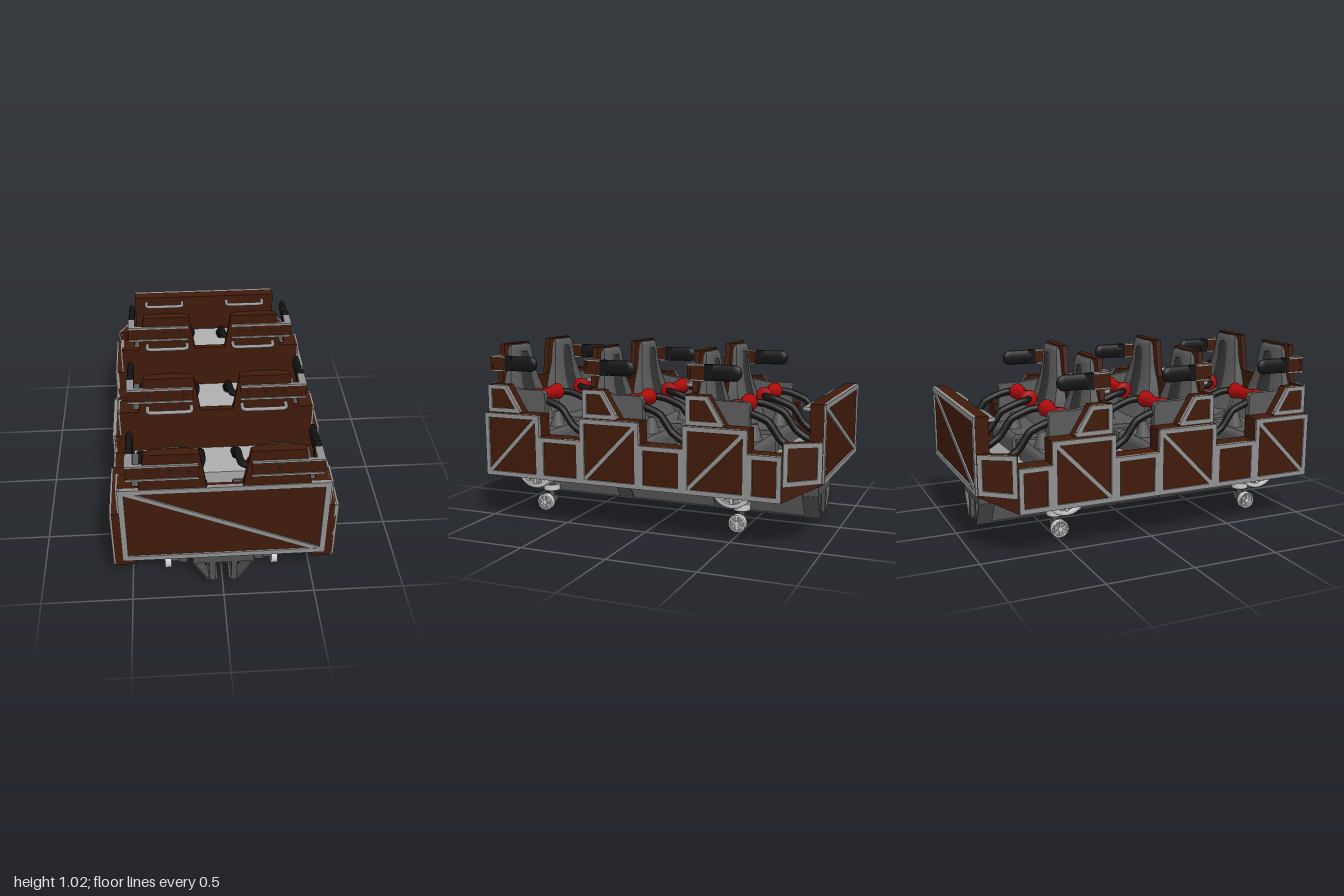
import * as THREE from 'three';
import { ConvexGeometry } from 'three/addons/geometries/ConvexGeometry.js';
import { RoundedBoxGeometry } from 'three/addons/geometries/RoundedBoxGeometry.js';

const V = (x, y, z) => new THREE.Vector3(x, y, z);
const mat = (color) => new THREE.MeshStandardMaterial({ color, side: THREE.DoubleSide });
const M = {
  wood: mat(0x401a0a), trim: mat(0x909090), seat: mat(0x5a5a5a), floor: mat(0x959595), cushion: mat(0x343434),
  chassis: mat(0x505050), black: mat(0x141414), red: mat(0xac0c0c), wheel: mat(0xcccccc),
};

function add(parent, name, geo, material) {
  const m = new THREE.Mesh(geo, material);
  m.name = name;
  parent.add(m);
  return m;
}
function group(parent, name) {
  const g = new THREE.Group();
  g.name = name;
  parent.add(g);
  return g;
}
// Box given by its limits on each axis
function box(parent, name, material, x0, x1, y0, y1, z0, z1) {
  const g = new THREE.BoxGeometry(Math.abs(x1 - x0), Math.abs(y1 - y0), Math.abs(z1 - z0));
  return add(parent, name, g.translate((x0 + x1) / 2, (y0 + y1) / 2, (z0 + z1) / 2), material);
}
// Side profile of [z, y] points, swept across x
function prism(parent, name, material, pts, x0, x1) {
  const shape = new THREE.Shape(pts.map(([z, y]) => new THREE.Vector2(z, y)));
  const g = new THREE.ExtrudeGeometry(shape, { depth: Math.abs(x1 - x0), bevelEnabled: false });
  return add(parent, name, g.rotateY(-Math.PI / 2).translate(Math.max(x0, x1), 0, 0), material);
}
// Contoured slab from levels of [y, half width, front z], with a front curving away at the sides
function contour(parent, name, material, c, z, levels, back) {
  const n = levels.length - 1;
  const g = new THREE.BoxGeometry(2, 1, 1, 8, n, 1);
  const p = g.attributes.position;
  for (let i = 0; i < p.count; i++) {
    const u = p.getX(i), [y, half, front] = levels[Math.round((p.getY(i) + 0.5) * n)];
    p.setXYZ(i, c + u * half, y, z + (p.getZ(i) > 0 ? back : front + 0.018 * u ** 4));
  }
  g.computeVertexNormals();
  return add(parent, name, g, material);
}
// Flat strip from p to q facing along n
function bar(parent, name, material, p, q, n, w, d) {
  const dir = q.clone().sub(p);
  const geo = new THREE.BoxGeometry(dir.length() + w * 0.9, w, d);
  const X = dir.normalize(), Z = n.clone().normalize(), Y = Z.clone().cross(X);
  geo.applyMatrix4(new THREE.Matrix4().makeBasis(X, Y, Z).setPosition(p.clone().add(q).multiplyScalar(0.5)));
  return add(parent, name, geo, material);
}
function frame(parent, pts, n, w = 0.026, diagonal) {
  pts.forEach((p, i) => bar(parent, 'trimStrip', M.trim, p, pts[(i + 1) % pts.length], n, w, 0.02));
  if (diagonal) bar(parent, 'diagonalStrip', M.trim, pts[diagonal[0]], pts[diagonal[1]], n, w * 0.9, 0.018);
}
function tube(parent, name, material, pts, r) {
  const curve = new THREE.CatmullRomCurve3(pts, false, 'catmullrom', 0.3);
  return add(parent, name, new THREE.TubeGeometry(curve, 36, r, 10), material);
}
function cyl(parent, name, material, r, len, axis, x, y, z) {
  const g = new THREE.CylinderGeometry(r, r, len, 24);
  if (axis === 'x') g.rotateZ(Math.PI / 2);
  if (axis === 'z') g.rotateX(Math.PI / 2);
  return add(parent, name, g.translate(x, y, z), material);
}
// Grab handle: a U-shaped rail
function handle(parent, c, y, z) {
  tube(parent, 'grabHandle', M.trim, [V(c - 0.12, y, z), V(c - 0.12, y, z + 0.035), V(c - 0.1, y, z + 0.052),
    V(c + 0.1, y, z + 0.052), V(c + 0.12, y, z + 0.035), V(c + 0.12, y, z)], 0.011);
}
// Spoked wheel turning about x
function wheel(parent, name, r, w, spokes) {
  const g = group(parent, name);
  const prof = [[0.78, -0.5], [0.95, -0.5], [1, -0.4], [1, 0.4], [0.95, 0.5], [0.78, 0.5], [0.78, -0.5]]
    .map(([a, b]) => new THREE.Vector2(a * r, b * w));
  add(g, 'tyre', new THREE.LatheGeometry(prof, 32).rotateZ(Math.PI / 2), M.wheel);
  cyl(g, 'hub', M.wheel, r * 0.3, w, 'x', 0, 0, 0);
  cyl(g, 'web', M.trim, r * 0.8, w * 0.5, 'x', 0, 0, 0);
  for (let i = 0; i < spokes; i++) {
    const s = box(g, 'spoke', M.wheel, -w * 0.42, w * 0.42, r * 0.25, r * 0.82, -r * 0.07, r * 0.07);
    s.rotation.x = (i / spokes) * Math.PI * 2;
  }
  return g;
}

// One seat with backboard, headrest bracket and lap bar; s picks the side
function seat(parent, s, z, hasHandle) {
  const g = group(parent, 'seat'), c = 0.26 * s;
  contour(g, 'backBoard', M.wood, c, z, [[0.795, 0.172, -0.046], [1.025, 0.135, -0.046]], 0.004);
  prism(g, 'seatPan', M.seat, [[z - 0.372, 0.41], [z - 0.372, 0.495], [z - 0.365, 0.515], [z - 0.345, 0.53], [z - 0.22, 0.525],
    [z - 0.14, 0.56], [z - 0.09, 0.64], [z - 0.03, 0.68], [z - 0.03, 0.41]], 0.07 * s, 0.465 * s);
  contour(g, 'seatBack', M.seat, c, z, [[0.5, 0.2, -0.2], [0.58, 0.2, -0.16], [0.66, 0.195, -0.13], [0.73, 0.182, -0.11],
    [0.8, 0.157, -0.094], [0.87, 0.134, -0.084], [0.99, 0.115, -0.076], [1.012, 0.1, -0.07], [1.018, 0.085, -0.06]], -0.028);
  contour(g, 'backCushion', M.cushion, c, z, [[0.66, 0.09, -0.135], [0.73, 0.086, -0.116], [0.8, 0.078, -0.1], [0.87, 0.069, -0.09],
    [0.95, 0.059, -0.085], [0.975, 0.04, -0.083]], -0.06);
  prism(g, 'sideWing', M.seat, [[z - 0.04, 0.5], [z - 0.34, 0.5], [z - 0.335, 0.75], [z - 0.315, 0.77], [z - 0.17, 0.77],
    [z - 0.04, 0.79]], 0.43 * s, 0.468 * s);
  const pommel = add(g, 'pommel', new THREE.CylinderGeometry(0.02, 0.05, 0.1, 16), M.seat);
  pommel.position.set(c, 0.57, z - 0.3);

  // Headrest bracket with padded arm
  const b0 = 0.13 * s, b1 = 0.49 * s;
  box(g, 'headrestBoard', M.wood, b0, b1, 0.875, 0.96, z - 0.005, z + 0.01);
  for (const y of [0.876, 0.96]) {
    box(g, 'headrestStrip', M.trim, b0, b1, y - 0.006, y + 0.006, z - 0.005, z + 0.015);
    box(g, 'armStrip', M.trim, 0.45 * s, 0.49 * s, y - 0.004, y + 0.004, z - 0.085, z);
  }
  for (const x of [0.175, 0.27, 0.37]) cyl(g, 'bolt', M.cushion, 0.008, 0.012, 'z', x * s, 0.92, z + 0.012);
  box(g, 'armBracket', M.wood, 0.45 * s, 0.488 * s, 0.878, 0.96, z - 0.085, z);
  const pad = add(g, 'armPad', new THREE.CapsuleGeometry(0.044, 0.13, 8, 20).rotateX(Math.PI / 2), M.black);
  pad.scale.x = 0.45;
  pad.position.set(0.47 * s, 0.92, z - 0.183);
  box(g, 'armPadMount', M.black, 0.453 * s, 0.488 * s, 0.877, 0.963, z - 0.13, z - 0.085);

  // Lap bar with a waisted pad
  const l = 0.265 * s;
  for (const t of [1, -1]) {
    const x = l + 0.165 * t;
    tube(g, 'lapBarArm', M.black, [V(x, 0.5, z - 0.65), V(x, 0.525, z - 0.57), V(x, 0.575, z - 0.495), V(x, 0.668, z - 0.425),
      V(x, 0.71, z - 0.32), V(x - 0.01 * t, 0.718, z - 0.265), V(l + 0.11 * t, 0.72, z - 0.235)], 0.021);
  }
  const profile = [[0, -0.132], [0.04, -0.13], [0.05, -0.118], [0.047, -0.095], [0.038, -0.06], [0.035, 0], [0.038, 0.06],
    [0.047, 0.095], [0.05, 0.118], [0.04, 0.13], [0, 0.132]].map(([r, y]) => new THREE.Vector2(r, y));
  const lapPad = add(g, 'lapPad', new THREE.LatheGeometry(profile, 20).rotateZ(-Math.PI / 2), M.red);
  lapPad.position.set(l, 0.722, z - 0.234);
  if (hasHandle) handle(g, c, 0.835, z);
}

// Side boxes with their trim for one row
function sideBoxes(parent, s, z, endZ) {
  const g = group(parent, 'sideBox'), n = V(s, 0, 0), xi = 0.465 * s, xo = 0.575 * s, f = 0.013;
  const rect = (x, a, b, y0, y1) => [V(x, y0 + f, a - f), V(x, y1 - f, a - f), V(x, y1 - f, b + f), V(x, y0 + f, b + f)];
  box(g, 'tallPanel', M.wood, xi, xo, 0.27, 0.64, z, z - 0.36);
  frame(g, rect(xo, z, z - 0.36, 0.27, 0.64), n, 0.026, [0, 2]);
  box(g, 'lowPanel', M.wood, xi, xo, 0.27, 0.515, z - 0.36, endZ);
  frame(g, rect(xo, z - 0.36, endZ, 0.27, 0.515), n);
  prism(g, 'upperPanel', M.wood, [[z, 0.63], [z, 0.8], [z - 0.12, 0.8], [z - 0.225, 0.63]], 0.46 * s, 0.535 * s);
  frame(g, [V(0.535 * s, 0.653, z - f), V(0.535 * s, 0.788, z - f), V(0.535 * s, 0.788, z - 0.117), V(0.535 * s, 0.653, z - 0.2)], n, 0.024);
}

export function createModel() {
  const root = new THREE.Group();
  root.name = 'coasterCar';
  const rows = [0.985, 0.363, -0.257];

  rows.forEach((z, i) => {
    const row = group(root, 'seatRow');
    const end = i < 2 ? rows[i + 1] : -0.8;
    const nose = i < 2 ? end : -0.92;
    box(row, 'bulkhead', M.wood, -0.535, 0.535, 0.305, 0.803, z - 0.03, z);
    box(row, 'centreConsole', M.seat, -0.075, 0.075, 0.41, 0.5, z - 0.35, z - 0.03);
    prism(row, 'consoleBack', M.seat, [[z - 0.19, 0.49], [z - 0.13, 0.57], [z - 0.09, 0.64], [z - 0.03, 0.67], [z - 0.03, 0.49]], -0.075, 0.075);
    prism(row, 'footRest', M.floor, [[z - 0.36, 0.4], [z - 0.36, 0.42], [nose + 0.09, 0.42], [nose, 0.53], [nose, 0.4]], -0.47, 0.47);
    for (const s of [1, -1]) {
      seat(row, s, z, i > 0);
      sideBoxes(row, s, z, end);
    }
  });

  // Framed end panel at +z
  frame(root, [V(-0.52, 0.32, 0.984), V(-0.52, 0.79, 0.984), V(0.52, 0.79, 0.984), V(0.52, 0.32, 0.984)], V(0, 0, 1), 0.03, [1, 3]);

  // Nose at -z: panel, tapered corners and sloping underside
  const nose = group(root, 'nose');
  box(nose, 'nosePanel', M.wood, -0.465, 0.465, 0.36, 0.78, -0.988, -0.915);
  frame(nose, [V(-0.45, 0.375, -0.988), V(-0.45, 0.767, -0.988), V(0.45, 0.767, -0.988), V(0.45, 0.375, -0.988)], V(0, 0, -1), 0.028, [0, 2]);
  const under = [];
  for (const s of [1, -1]) {
    handle(nose, 0.27 * s, 0.74, -0.915);
    const p = [];
    for (const [x, z, y] of [[0.575, -0.8, 0.27], [0.465, -0.985, 0.355], [0.53, -0.8, 0.27], [0.43, -0.97, 0.35]])
      p.push(V(x * s, y, z), V(x * s, 0.585, z));
    add(nose, 'corner', new ConvexGeometry(p), M.wood);
    frame(nose, [V(0.568 * s, 0.37, -0.815), V(0.568 * s, 0.572, -0.815), V(0.474 * s, 0.572, -0.972), V(0.474 * s, 0.38, -0.972)], V(0.85 * s, 0, -0.52));
    under.push(V(0.575 * s, 0.27, -0.8), V(0.575 * s, 0.295, -0.8), V(0.465 * s, 0.355, -0.985), V(0.465 * s, 0.365, -0.985));
  }
  add(nose, 'slopingUnderside', new ConvexGeometry(under), M.wood);

  // Chassis
  const chassis = group(root, 'chassis');
  box(chassis, 'underFloor', M.chassis, -0.47, 0.47, 0.4, 0.412, -0.9, 0.96);
  box(chassis, 'spine', M.chassis, -0.16, 0.16, 0.235, 0.3, -0.9, 0.945);
  for (const s of [1, -1]) {
    box(chassis, 'rail', M.chassis, 0.043 * s, 0.075 * s, 0.068, 0.215, -0.9, 0.945);
    box(chassis, 'railFlange', M.chassis, 0.03 * s, 0.085 * s, 0.066, 0.074, -0.9, 0.945);
  }
  for (const z of [0.902, 0.31, -0.315, -0.858]) {
    box(chassis, 'crossMember', M.chassis, -0.165, 0.165, 0.21, 0.303, z - 0.046, z + 0.046);
    for (const s of [1, -1])
      bar(chassis, 'gusset', M.chassis, V(0.162 * s, 0.212, z), V(0.083 * s, 0.073, z), V(0, 0, 1), 0.007, 0.092);
  }

  // Wheel sets: running, guide and up-stop wheels
  for (const z of [0.759, -0.48]) for (const s of [1, -1]) {
    const w = group(root, 'wheelSet');
    w.position.z = z;
    wheel(w, 'runningWheel', 0.12, 0.092, 10).position.set(0.382 * s, 0.288, 0);
    cyl(w, 'axle', M.chassis, 0.031, 0.26, 'x', 0.25 * s, 0.274, 0);
    cyl(w, 'post', M.chassis, 0.018, 0.2, 'y', 0.227 * s, 0.136, 0);
    const guide = wheel(w, 'guideWheel', 0.05, 0.038, 6);
    guide.rotation.z = Math.PI / 2;
    guide.position.set(0.226 * s, 0.133, 0);
    cyl(w, 'lowerAxle', M.chassis, 0.019, 0.12, 'x', 0.245 * s, 0.055, 0);
    add(w, 'lowerBlock', new RoundedBoxGeometry(0.05, 0.04, 0.045, 2, 0.008).translate(0.215 * s, 0.055, 0), M.chassis);
    wheel(w, 'upStopWheel', 0.051, 0.038, 6).position.set(0.3 * s, 0.054, 0);
  }
  return root;
}
